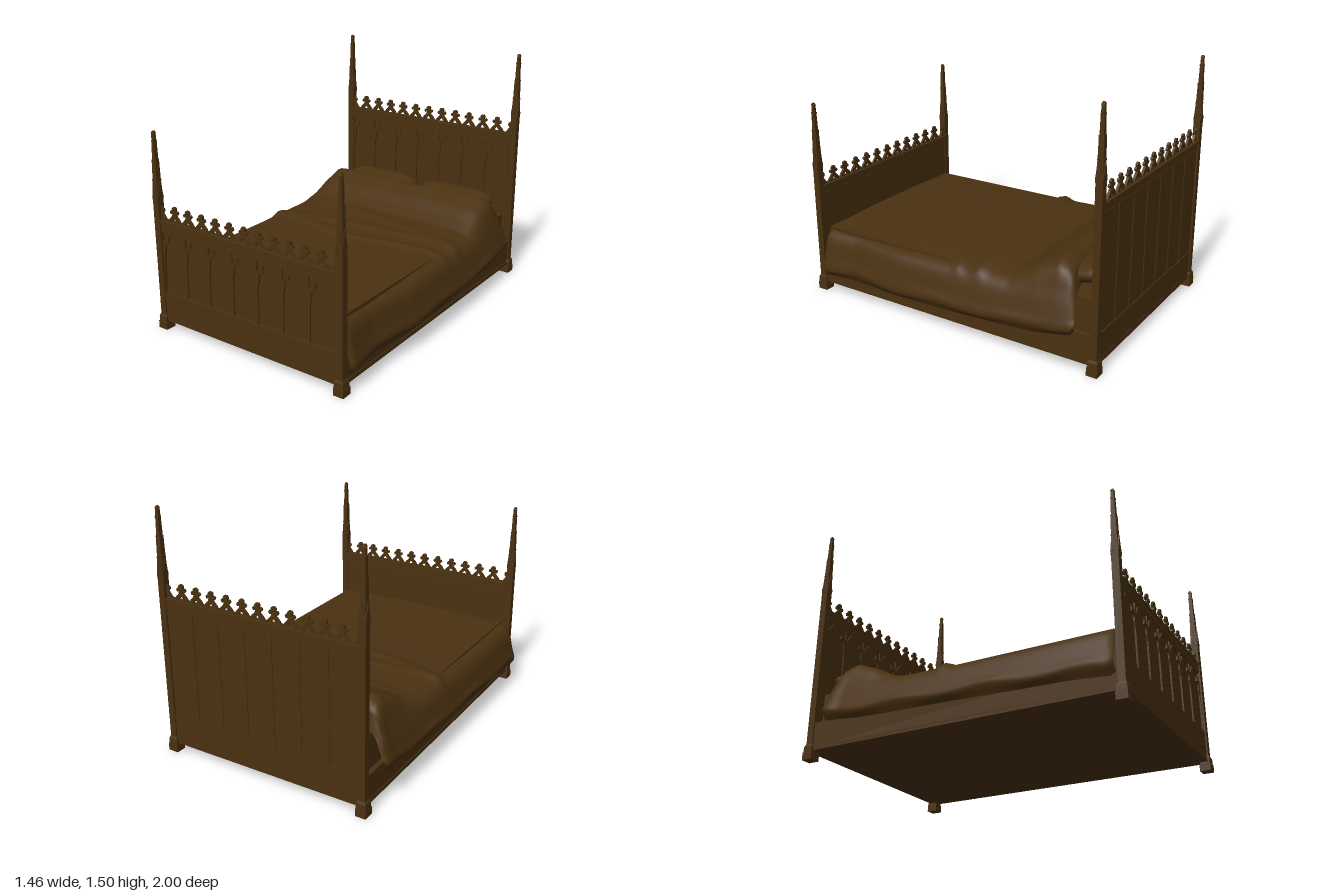
import * as THREE from 'three';

const brown = new THREE.MeshStandardMaterial({ color: 0x4a3111, side: THREE.DoubleSide });
brown.name = 'darkBrown';

const BAYS = 7, BAY = 0.178, INNER = BAYS * BAY / 2; // arcade bays between the posts
const CREST = 0.1045;                                // spacing of the crest finials

function add(parent, name, geometry, x = 0, y = 0, z = 0) {
  const mesh = new THREE.Mesh(geometry, brown);
  mesh.name = name;
  mesh.position.set(x, y, z);
  parent.add(mesh);
  return mesh;
}

// Box given by its bottom height
function box(parent, name, w, h, d, x, y0, z) {
  return add(parent, name, new THREE.BoxGeometry(w, h, d), x, y0 + h / 2, z);
}

// Four-sided frustum with flat sides facing the axes
function frustum(parent, name, w0, w1, y0, y1) {
  const g = new THREE.CylinderGeometry(w1 / Math.SQRT2, w0 / Math.SQRT2, y1 - y0, 4).toNonIndexed();
  g.rotateY(Math.PI / 4);
  g.computeVertexNormals();
  return add(parent, name, g, 0, (y0 + y1) / 2, 0);
}

function polygon(points, Type = THREE.Shape) {
  return new Type(points.map(p => new THREE.Vector2(...p)));
}

function extrude(shape, depth) {
  return new THREE.ExtrudeGeometry(shape, { depth, bevelEnabled: false, curveSegments: 6 });
}

// Corner post: foot, shaft, gablets and stepped pinnacle
function makePost(name, top) {
  const post = new THREE.Group();
  post.name = name;
  frustum(post, 'footBlock', 0.066, 0.066, 0, 0.045);
  frustum(post, 'footNeck', 0.06, 0.058, 0.045, 0.08);
  frustum(post, 'footChamfer', 0.058, 0.044, 0.08, 0.095);
  frustum(post, 'shaft', 0.042, 0.042, 0.09, top - 0.37);
  // [bottom width, top width, start, end], heights measured down from the tip
  const tiers = [
    [0.04, 0.033, 0.37, 0.29], [0.033, 0.029, 0.29, 0.17],
    [0.025, 0.021, 0.17, 0.06], [0.02, 0.017, 0.06, 0.012], [0.022, 0.012, 0.015, 0]
  ];
  for (const [w0, w1, a, b] of tiers) frustum(post, 'pinnacleTier', w0, w1, top - a, top - b);
  for (const d of [0.29, 0.17, 0.06]) {
    const w = 0.021 + d * 0.055;
    frustum(post, 'collar', w, w, top - d - 0.005, top - d + 0.003);
  }
  const gablet = polygon([[-0.023, 0], [-0.017, -0.03], [-0.012, 0], [0, 0.02], [0.012, 0],
    [0.017, -0.03], [0.023, 0], [0.012, 0.04], [0, 0.1], [-0.012, 0.04]]);
  for (let i = 0; i < 4; i++) {
    const g = extrude(gablet, 0.006);
    g.translate(0, 0, 0.017);
    g.rotateY(i * Math.PI / 2);
    add(post, 'gablet', g, 0, top - 0.39, 0);
  }
  return post;
}

// Pierced arcade: a plate with cusped arches and spandrel openings
function arcadeGeometry(y0, y1) {
  const plate = polygon([[-INNER, y0], [INNER, y0], [INNER, y1], [-INNER, y1]]);
  const spring = y1 - 0.125, w = 0.083;
  for (let i = 0; i < BAYS; i++) {
    const x = (i - (BAYS - 1) / 2) * BAY;
    const arch = new THREE.Path();
    arch.moveTo(x - w, y0 + 0.004);
    arch.lineTo(x + w, y0 + 0.004);
    arch.lineTo(x + w - 0.004, spring - 0.04);
    arch.lineTo(x + w - 0.014, spring);
    arch.quadraticCurveTo(x + 0.074, spring + 0.055, x + 0.036, spring + 0.046);
    arch.bezierCurveTo(x + 0.056, spring + 0.075, x + 0.03, spring + 0.1, x, spring + 0.113);
    arch.bezierCurveTo(x - 0.03, spring + 0.1, x - 0.056, spring + 0.075, x - 0.036, spring + 0.046);
    arch.quadraticCurveTo(x - 0.074, spring + 0.055, x - w + 0.014, spring);
    arch.lineTo(x - w + 0.004, spring - 0.04);
    plate.holes.push(arch);
    for (const s of [-1, 1]) {
      plate.holes.push(polygon([[x + s * 0.084, y1 - 0.012], [x + s * 0.04, y1 - 0.012],
        [x + s * 0.064, y1 - 0.045], [x + s * 0.084, y1 - 0.075]], THREE.Path));
    }
  }
  return extrude(plate, 0.01);
}

// One finial: pierced gable with a three-lobed head
function finialGeometry() {
  const half = [[0.05, 0], [0.036, 0.022], [0.016, 0.042], [0.012, 0.055], [0.026, 0.052],
    [0.032, 0.064], [0.024, 0.074], [0.012, 0.07], [0.016, 0.086], [0.008, 0.095]];
  const shape = polygon([...half, ...half.map(([x, y]) => [-x, y]).reverse()]);
  shape.holes.push(polygon([[-0.02, 0.005], [0, 0.03], [0.02, 0.005]], THREE.Path));
  return extrude(shape, 0.014);
}

// Head or foot board with its arcade on the +z face
function makeBoard(name, top, z, planked) {
  const board = new THREE.Group();
  board.name = name;
  const rail = top - 0.055, width = INNER * 2 + 0.02;
  box(board, 'panel', width, rail - 0.2, 0.018, 0, 0.2, -0.004);
  box(board, 'bottomRail', width, 0.16, 0.032, 0, 0.055, 0);
  box(board, 'baseStrip', width, 0.03, 0.038, 0, 0.055, 0);
  box(board, 'ledge', width, 0.025, 0.038, 0, 0.215, 0);
  box(board, 'topRail', width, 0.05, 0.034, 0, rail, 0);
  box(board, 'cornice', width, 0.014, 0.046, 0, top - 0.014, 0);
  box(board, 'lowerMoulding', width, 0.01, 0.04, 0, rail - 0.005, 0);
  add(board, 'arcade', arcadeGeometry(0.24, rail - 0.005), 0, 0, 0.005);
  const finial = finialGeometry();
  for (let i = -5; i <= 5; i++) add(board, 'finial', finial, i * CREST, top, -0.007);
  for (const s of [-1, 1]) {
    const half = extrude(polygon([[0, 0], [-0.045, 0], [-0.014, 0.042], [-0.026, 0.055],
      [-0.022, 0.072], [-0.01, 0.07], [0, 0.08]].map(([x, y]) => [x * s, y])), 0.014);
    add(board, 'halfFinial', half, s * 0.63, top, -0.007);
  }
  if (planked) for (let i = 1; i < BAYS; i++) {
    box(board, 'plankBatten', 0.007, rail - 0.24, 0.005, (i - BAYS / 2) * BAY, 0.24, -0.0145);
  }
  board.position.z = z;
  return board;
}

// Draped cover, lofted along z: [z, top, left hem, right hem, left half-width, right half-width]
const coverRows = [
  [-0.86, 0.46, 0.23, 0.22, 0.69, 0.71], [-0.85, 0.53, 0.21, 0.21, 0.7, 0.725],
  [-0.8, 0.57, 0.2, 0.2, 0.705, 0.73], [-0.74, 0.59, 0.19, 0.2, 0.71, 0.72],
  [-0.6, 0.54, 0.17, 0.185, 0.72, 0.725], [-0.42, 0.45, 0.16, 0.175, 0.725, 0.73],
  [0, 0.438, 0.14, 0.165, 0.73, 0.73], [0.35, 0.428, 0.13, 0.15, 0.725, 0.73],
  [0.7, 0.43, 0.12, 0.14, 0.69, 0.73], [0.88, 0.432, 0.115, 0.125, 0.7, 0.73],
  [0.925, 0.432, 0.11, 0.12, 0.7, 0.73], [0.94, 0.41, 0.12, 0.15, 0.68, 0.7]
];

function rowAt(z) {
  let i = 0;
  while (i < coverRows.length - 2 && z > coverRows[i + 1][0]) i++;
  const a = coverRows[i], b = coverRows[i + 1], t = (z - a[0]) / (b[0] - a[0]);
  return a.map((v, k) => THREE.MathUtils.lerp(v, b[k], t));
}

function coverGeometry() {
  const nz = 90, nx = 60, pos = [], index = [];
  const bump = (v, width) => Math.exp(-(v * v) / (width * width));
  for (let i = 0; i <= nz; i++) {
    const z = -0.86 + 1.8 * i / nz;
    const [, top, hemL, hemR, wL, wR] = rowAt(z);
    const side = (s, w, hem) => {
      const shoulder = 0.37 + 0.35 * (top - 0.43);
      const flare = 0.012 * Math.sin(z * 11 + s);
      return [[0.96 * w, hem], [w, hem + 0.05 + flare], [0.975 * w, hem * 0.5 + shoulder * 0.5],
        [0.92 * w, shoulder], [0.83 * w, top - 0.025], [0.5 * w, top - 0.004]]
        .map(([x, y]) => new THREE.Vector3(s * x, y, 0));
    };
    const section = new THREE.CatmullRomCurve3(
      [...side(-1, wR, hemR), new THREE.Vector3(0, top, 0), ...side(1, wL, hemL).reverse()]);
    for (let j = 0; j <= nx; j++) {
      const p = section.getPoint(j / nx), ax = Math.abs(p.x);
      const flat = THREE.MathUtils.smoothstep(p.y, 0.33, 0.42);
      // Chevron folds across the middle and a soft dip between the pillows
      const fold = 0.014 * bump(z + 0.17 * ax - 0.03, 0.03) + 0.012 * bump(z + 0.1 * p.x + 0.15, 0.04)
        + 0.01 * bump(z - 0.15 * p.x + 0.33, 0.04) - 0.015 * bump(z + 0.75, 0.12) * bump(p.x, 0.06);
      const pull = 0.07 * (1 - Math.min(1, (ax / 0.7) ** 4)) * Math.max(0, (-0.5 - z) / 0.36);
      pos.push(p.x, p.y + fold * flat, z + pull);
      if (i < nz && j < nx) {
        const a = i * (nx + 1) + j, b = a + nx + 1;
        index.push(a, b, a + 1, b, b + 1, a + 1);
      }
    }
  }
  const g = new THREE.BufferGeometry();
  g.setAttribute('position', new THREE.Float32BufferAttribute(pos, 3));
  g.setIndex(index);
  g.computeVertexNormals();
  return g;
}

// Cushion: a sphere squared off in plan with thin pinched corners
function pillowGeometry(w, h, d) {
  const g = new THREE.SphereGeometry(1, 36, 20), p = g.attributes.position;
  const square = v => Math.sign(v) * Math.abs(v) ** 0.55;
  for (let i = 0; i < p.count; i++) {
    const x = square(p.getX(i)), z = square(p.getZ(i));
    p.setXYZ(i, x * w * (1 - 0.06 * (1 - z * z)), p.getY(i) * h, z * d * (1 - 0.12 * (1 - x * x)));
  }
  g.computeVertexNormals();
  return g;
}

export function createModel() {
  const bed = new THREE.Group();
  bed.name = 'carvedBed';

  // Boards and posts
  bed.add(makeBoard('footboard', 0.695, 0.963, false), makeBoard('headboard', 0.975, -0.963, true));
  for (const s of [-1, 1]) {
    const front = makePost('footPost', 1.22), back = makePost('headPost', 1.5);
    front.position.set(s * 0.648, 0, 0.966);
    back.position.set(s * 0.648, 0, -0.966);
    bed.add(front, back);
    // Side rails
    box(bed, 'sideRail', 0.03, 0.15, 1.9, s * 0.645, 0.075, 0);
    box(bed, 'railBase', 0.04, 0.025, 1.9, s * 0.645, 0.055, 0);
  }

  // Base and bedding
  box(bed, 'bedBase', 1.28, 0.03, 1.9, 0, 0.055, 0);
  box(bed, 'mattress', 1.22, 0.33, 1.87, 0, 0.085, 0);
  add(bed, 'cover', coverGeometry());
  for (const s of [-1, 1]) {
    const pillow = add(bed, 'pillow', pillowGeometry(0.29, 0.066, 0.115), s * 0.295 - 0.01, 0.5, -0.835);
    pillow.rotation.x = 0.25;
  }
  return bed;
}
